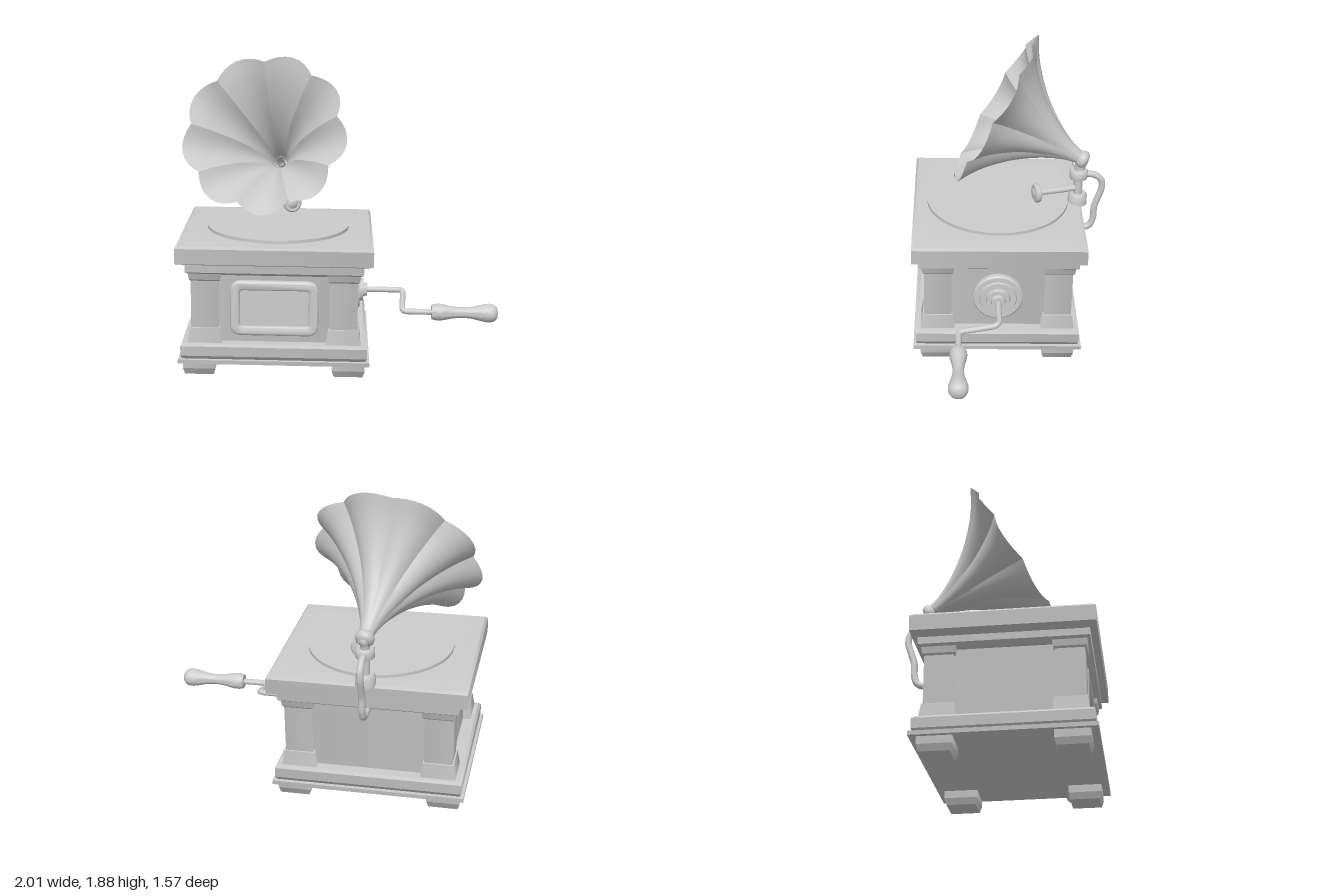
import * as THREE from 'three';
import { toCreasedNormals } from 'three/addons/utils/BufferGeometryUtils.js';

const grey = new THREE.MeshStandardMaterial({ color: 0xcccccc });
const greyDouble = new THREE.MeshStandardMaterial({ color: 0xcccccc, side: THREE.DoubleSide });
const V = (x, y, z) => new THREE.Vector3(x, y, z);

function add(parent, name, geometry, material = grey) {
  const mesh = new THREE.Mesh(geometry, material);
  mesh.name = name;
  parent.add(mesh);
  return mesh;
}

// Stack of four-sided bands; profile rows are [inset, y] from the half sizes hx, hz.
function block(parent, name, hx, hz, profile, x = 0, z = 0) {
  const group = new THREE.Group();
  group.name = name;
  group.position.set(x, 0, z);
  parent.add(group);
  for (let i = 1; i < profile.length; i++) {
    const [i0, y0] = profile[i - 1], [i1, y1] = profile[i];
    const g = new THREE.CylinderGeometry(Math.SQRT2 * (hz - i1), Math.SQRT2 * (hz - i0), y1 - y0, 4, 1, false, Math.PI / 4);
    const p = g.attributes.position;
    for (let k = 0; k < p.count; k++) {
      const px = p.getX(k);
      if (Math.abs(px) > 1e-6) p.setX(k, px + Math.sign(px) * (hx - hz));
    }
    g.translate(0, (y0 + y1) / 2, 0);
    add(group, name + 'Band', g);
  }
  return group;
}

// Solid of revolution from [radius, height] pairs, turned so that its axis follows dir.
function turned(parent, name, pairs, at, dir, segments = 32) {
  const g = new THREE.LatheGeometry(pairs.map(([r, y]) => new THREE.Vector2(r, y)), segments);
  const mesh = add(parent, name, toCreasedNormals(g, 0.7), greyDouble);
  mesh.position.copy(at);
  mesh.quaternion.setFromUnitVectors(V(0, 1, 0), dir.clone().normalize());
  return mesh;
}

function tube(parent, name, points, radius, tension = 0.5) {
  const curve = new THREE.CatmullRomCurve3(points, false, 'catmullrom', tension);
  return add(parent, name, new THREE.TubeGeometry(curve, 64, radius, 12), greyDouble);
}

function roundedRect(target, w, h, r) {
  const x = w / 2, y = h / 2;
  target.moveTo(-x + r, -y);
  target.lineTo(x - r, -y).quadraticCurveTo(x, -y, x, -y + r);
  target.lineTo(x, y - r).quadraticCurveTo(x, y, x - r, y);
  target.lineTo(-x + r, y).quadraticCurveTo(-x, y, -x, y - r);
  target.lineTo(-x, -y + r).quadraticCurveTo(-x, -y, -x + r, -y);
  return target;
}

function buildCabinet(parent) {
  block(parent, 'basePlate', 0.58, 0.52, [[0, 0.085], [0, 0.11]]);
  block(parent, 'plinth', 0.565, 0.505, [[0.01, 0.11], [0, 0.13], [0, 0.19], [0.015, 0.205]]);
  block(parent, 'body', 0.475, 0.425, [[0, 0.2], [0, 0.66]]);
  block(parent, 'cornice', 0.537, 0.487, [[0.03, 0.63], [0, 0.65], [0, 0.705]]);
  block(parent, 'topSlab', 0.592, 0.528, [[0.06, 0.69], [0, 0.712], [0, 0.805], [0.015, 0.82], [0.11, 0.826]]);

  for (const sx of [-1, 1]) for (const sz of [-1, 1]) {
    block(parent, 'foot', 0.1, 0.1, [[0.012, 0], [0.006, 0.02], [0, 0.04], [0, 0.09]], sx * 0.454, sz * 0.377);
    block(parent, 'column', 0.106, 0.106,
      [[0, 0.2], [0.003, 0.22], [0.014, 0.295], [0.022, 0.296], [0.022, 0.59], [0.012, 0.6], [0.006, 0.64]],
      sx * 0.42, sz * 0.37);
  }

  // Framed panel on the front face
  const shape = roundedRect(new THREE.Shape(), 0.5, 0.31, 0.05);
  shape.holes.push(roundedRect(new THREE.Path(), 0.45, 0.26, 0.04));
  const frame = new THREE.ExtrudeGeometry(shape, {
    depth: 0.02, bevelEnabled: true, bevelSize: 0.017, bevelThickness: 0.017, bevelSegments: 4, curveSegments: 8,
  });
  add(parent, 'panelFrame', toCreasedNormals(frame, 0.8)).position.set(0, 0.42, 0.42);
  add(parent, 'panel', new THREE.BoxGeometry(0.46, 0.27, 0.02)).position.set(0, 0.42, 0.422);

  // Turntable
  add(parent, 'turntable', new THREE.CylinderGeometry(0.443, 0.443, 0.025, 64)).position.y = 0.832;
}

function buildCrank(parent) {
  const y = 0.42, out = V(1, 0, 0);
  turned(parent, 'crankBoss', [[0.155, 0], [0.155, 0.03], [0.145, 0.04], [0.115, 0.04], [0.11, 0.052],
    [0.075, 0.052], [0.07, 0.075], [0.045, 0.075], [0.04, 0.1], [0, 0.1]], V(0.47, y, 0), out, 40);
  tube(parent, 'crankRod', [V(0.5, y, 0), V(0.75, y, 0), V(0.785, y, 0.01), V(0.795, y - 0.012, 0.04),
    V(0.785, 0.367, 0.21), V(0.795, 0.357, 0.238), V(0.83, 0.355, 0.243), V(0.98, 0.355, 0.243)], 0.018, 0.3);
  const grip = [[0.045, 0], [0.052, 0.03], [0.05, 0.07], [0.038, 0.13], [0.033, 0.19], [0.038, 0.25],
    [0.052, 0.31], [0.058, 0.35], [0.052, 0.385], [0.03, 0.405]].map(([r, h]) => new THREE.Vector2(r, h));
  const pairs = new THREE.SplineCurve(grip).getPoints(28).map((p) => [p.x, p.y]);
  turned(parent, 'crankHandle', [[0, 0], ...pairs, [0, 0.41]], V(0.965, 0.355, 0.243), out);
}

function buildToneArm(parent) {
  const z = -0.505, up = V(0, 1, 0);
  turned(parent, 'armBase', [[0.06, 0.81], [0.06, 0.87], [0.05, 0.885], [0, 0.885]], V(0, 0, z), up);
  turned(parent, 'armPost', [[0.028, 0.87], [0.028, 0.99], [0.055, 0.99], [0.058, 1.0], [0.058, 1.04],
    [0.05, 1.05], [0.028, 1.05], [0.028, 1.1]], V(0, 0, z), up);

  // Pick-up arm with its round sound box
  const dir = V(0.08, 0, 0.27).normalize();
  const start = V(0, 0.92, z);
  const along = (d, dy = 0) => start.clone().addScaledVector(dir, d).add(V(0, dy, 0));
  tube(parent, 'pickupArm', [along(0, 0.06), along(0.01, 0.02), along(0.04), along(0.27)], 0.019);
  turned(parent, 'soundBox', [[0, 0], [0.03, 0], [0.035, 0.012], [0.055, 0.014], [0.06, 0.022], [0.06, 0.04],
    [0.052, 0.048], [0.035, 0.046], [0.02, 0.056], [0, 0.058]], along(0.245), dir);

  // Bracket pipe looping behind the post and down under the slab
  tube(parent, 'bracketPipe', [V(0, 1.015, z), V(0, 1.015, -0.59), V(0, 0.98, -0.645), V(0, 0.92, -0.655),
    V(0, 0.85, -0.635), V(0, 0.78, -0.615), V(0, 0.69, -0.61), V(0, 0.635, -0.57), V(0, 0.62, -0.42)], 0.021);
}

function buildHorn(parent) {
  const horn = new THREE.Group();
  horn.name = 'horn';
  const throat = V(-0.55, 1.12, -0.41);
  horn.position.copy(throat);
  horn.lookAt(throat.clone().add(V(0.457, 0.489, 0.741)));
  parent.add(horn);

  // Flared bell with nine petals, creased between them
  const length = 0.64;
  const flare = new THREE.SplineCurve([[0.036, 0], [0.06, 0.1], [0.105, 0.2], [0.165, 0.3], [0.24, 0.4],
    [0.335, 0.5], [0.43, 0.58], [0.525, length]].map(([r, h]) => new THREE.Vector2(r, h)));
  const g = new THREE.LatheGeometry(flare.getPoints(22), 72);
  g.rotateX(Math.PI / 2);
  const p = g.attributes.position;
  const valley = THREE.MathUtils.degToRad(95);
  for (let i = 0; i < p.count; i++) {
    const x = p.getX(i), y = p.getY(i), z = p.getZ(i), t = z / length;
    const petal = Math.abs(Math.sin(4.5 * (Math.atan2(y, x) - valley)));
    const s = 1 - 0.11 * Math.min(1, t * 1.6) * (1 - petal);
    p.setXYZ(i, x * s, y * s, z + 0.025 * t ** 4 * (0.5 - petal));
  }
  add(horn, 'bell', toCreasedNormals(g, 0.6), greyDouble);

  turned(horn, 'throatCollar', [[0.03, -0.03], [0.045, -0.025], [0.056, -0.01], [0.056, 0.012], [0.046, 0.03],
    [0.04, 0.035]], V(0, 0, 0), V(0, 0, 1));
  tube(parent, 'neck', [V(-0.543, 1.03, -0.398), V(-0.546, 1.08, -0.405), V(-0.55, 1.11, -0.415),
    throat.clone().add(V(0.015, 0.016, 0.025))], 0.027);
}

export function createModel() {
  const model = new THREE.Group();
  model.name = 'gramophone';

  // The cabinet stands turned on the spot and leans back very slightly
  const cabinet = new THREE.Group();
  cabinet.name = 'cabinet';
  cabinet.position.set(-0.205, 0.011, 0.008);
  cabinet.rotation.set(-0.018, 0.707, 0);
  model.add(cabinet);

  buildCabinet(cabinet);
  buildCrank(cabinet);
  buildToneArm(cabinet);
  buildHorn(model);
  return model;
}
